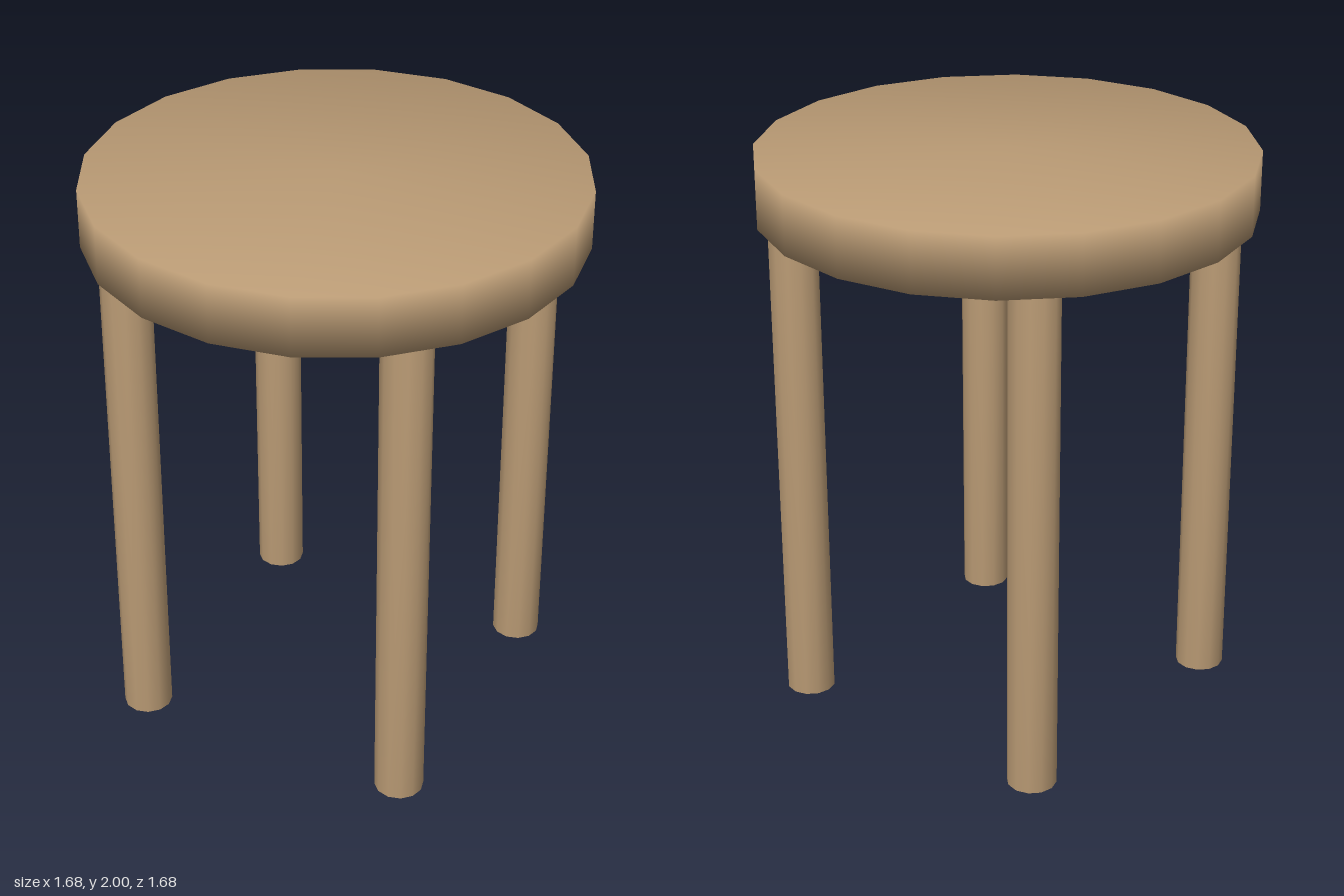
import * as THREE from 'three';
import { mergeVertices } from 'three/addons/utils/BufferGeometryUtils.js';

// Closed cylinder with normals blended softly over its rims
function softCylinder(radius, height, sides) {
  const g = new THREE.CylinderGeometry(radius, radius, height, sides);
  g.deleteAttribute('uv');
  g.deleteAttribute('normal');
  const soft = mergeVertices(g, 1e-4);
  soft.computeVertexNormals();
  return soft;
}

export function createModel() {
  const stool = new THREE.Group();
  stool.name = 'stool';
  const wood = new THREE.MeshStandardMaterial({ color: 0xb99a74 });
  wood.name = 'light wood';

  const height = 2, seatThickness = 0.205;
  const legHeight = height - seatThickness;

  // Round seat
  const seat = new THREE.Mesh(softCylinder(0.84, seatThickness, 20), wood);
  seat.name = 'seat';
  seat.position.y = height - seatThickness / 2;
  stool.add(seat);

  // Four straight legs on a square
  const legGeometry = softCylinder(0.085, legHeight, 12);
  for (const [sideName, x] of [['Left', 1], ['Right', -1]]) {
    for (const [endName, z] of [['front', 1], ['back', -1]]) {
      const leg = new THREE.Mesh(legGeometry, wood);
      leg.name = `${endName}${sideName}Leg`;
      leg.position.set(x * 0.505, legHeight / 2, z * 0.505);
      stool.add(leg);
    }
  }
  return stool;
}
